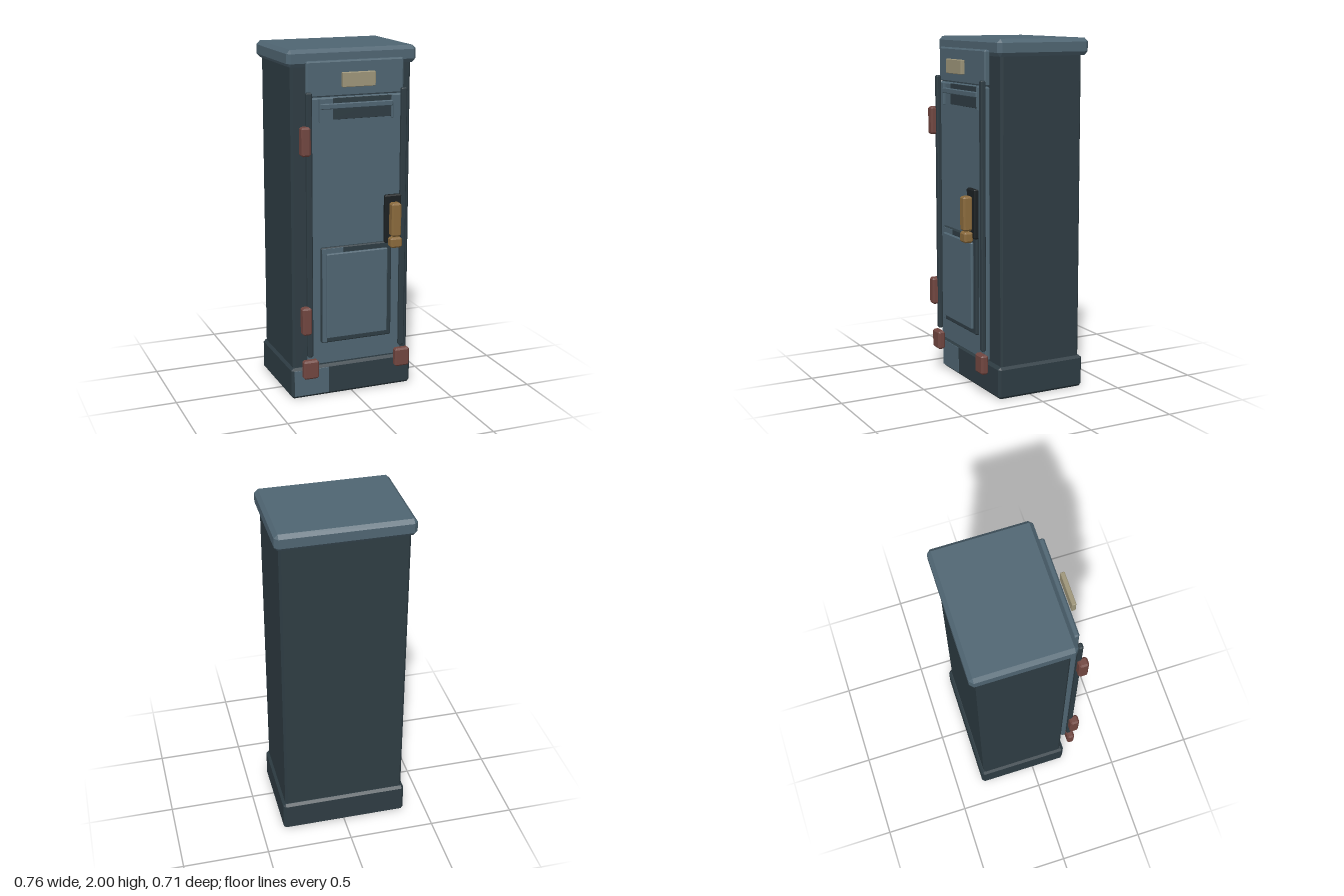
import * as THREE from 'three';
import { ConvexGeometry } from 'three/addons/geometries/ConvexGeometry.js';

function mat(name, color) {
  const m = new THREE.MeshStandardMaterial({ color });
  m.name = name;
  return m;
}

// Box between two corners with every edge chamfered by c
function chamferBox(x0, x1, y0, y1, z0, z1, c) {
  const h = [(x1 - x0) / 2, (y1 - y0) / 2, (z1 - z0) / 2];
  const points = [];
  for (const sx of [-1, 1]) for (const sy of [-1, 1]) for (const sz of [-1, 1]) {
    for (let full = 0; full < 3; full++) {
      const p = h.map((v, i) => (i === full ? v : v - c));
      points.push(new THREE.Vector3(sx * p[0], sy * p[1], sz * p[2]));
    }
  }
  const geo = new ConvexGeometry(points);
  geo.translate((x0 + x1) / 2, (y0 + y1) / 2, (z0 + z1) / 2);
  return geo;
}

export function createModel() {
  const model = new THREE.Group();
  model.name = 'locker';

  const steel = mat('blue grey steel', 0x4f6572);
  const dark = mat('dark steel', 0x2e3c43);
  const black = mat('black iron', 0x1b2022);
  const brass = mat('brass', 0x8a6a3c);
  const rust = mat('rust red', 0x714640);
  const tan = mat('tan label', 0x9d9579);

  function add(name, material, x, y, z, c = 0.008) {
    const mesh = new THREE.Mesh(chamferBox(...x, ...y, ...z, c), material);
    mesh.name = name;
    model.add(mesh);
    return mesh;
  }

  // Cabinet
  add('base', dark, [-0.37, 0.37], [0, 0.185], [-0.338, 0.205], 0.015);
  add('basePatch', steel, [-0.355, -0.145], [0.015, 0.17], [0.2, 0.207], 0.001);
  add('body', dark, [-0.355, 0.355], [0.15, 1.93], [-0.32, 0.185], 0.012);
  add('lid', steel, [-0.38, 0.38], [1.905, 2], [-0.355, 0.213], 0.021);

  // Door and header
  add('door', steel, [-0.285, 0.285], [0.21, 1.742], [0.215, 0.248]);
  add('header', steel, [-0.285, 0.285], [1.745, 1.94], [0.215, 0.248]);
  add('namePlate', tan, [-0.096, 0.096], [1.80, 1.88], [0.274, 0.298], 0.003);

  // Vent slot
  add('ventBack', dark, [-0.135, 0.21], [1.62, 1.738], [0.246, 0.252], 0.001);
  add('ventSlat', steel, [-0.215, 0.215], [1.68, 1.71], [0.246, 0.266], 0.004);
  for (const s of [-1, 1]) {
    add('ventEnd', steel, [s * 0.213 - 0.005, s * 0.213 + 0.005], [1.61, 1.738], [0.246, 0.262], 0.002);
  }

  // Lower panel on its frame, with the lighter corner of the frame
  add('panelFrame', dark, [-0.213, 0.213], [0.345, 0.905], [0.246, 0.269], 0.006);
  add('frameSidePatch', steel, [-0.208, -0.18], [0.35, 0.9], [0.264, 0.2705], 0.001);
  add('frameTopPatch', steel, [-0.208, -0.082], [0.868, 0.9], [0.264, 0.2705], 0.001);
  add('panel', steel, [-0.184, 0.184], [0.373, 0.872], [0.265, 0.284], 0.006);

  // Side trims and bottom brackets
  for (const s of [-1, 1]) {
    add('sideTrim', dark, [s * 0.28 - 0.017, s * 0.28 + 0.017], [0.27, 1.777], [0.247, 0.275], 0.007);
    add('bottomBracket', rust, [s * 0.281 - 0.045, s * 0.281 + 0.045], [0.145, 0.255], [0.248, 0.292], 0.01);
  }

  // Hinges
  for (const y of [0.495, 1.515]) {
    add('hinge', rust, [-0.335, -0.281], [y - 0.08, y + 0.08], [0.25, 0.305], 0.01);
  }

  // Lock plate and handle
  add('lockPlate', black, [0.158, 0.258], [0.905, 1.182], [0.271, 0.3], 0.007);
  add('handle', brass, [0.179, 0.237], [0.95, 1.143], [0.298, 0.353], 0.01);
  add('handleKnob', brass, [0.174, 0.243], [0.885, 0.945], [0.298, 0.352], 0.01);

  return model;
}
